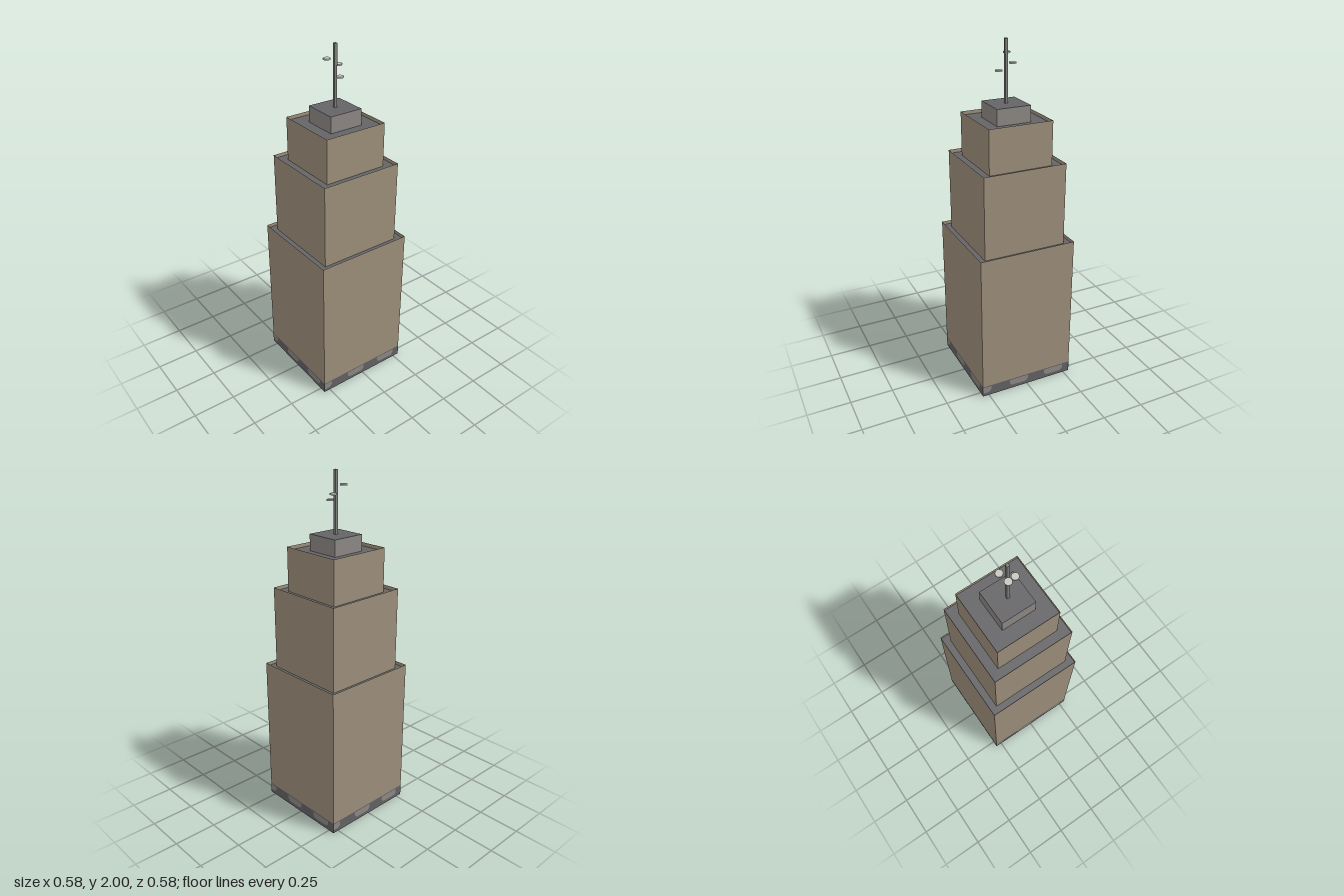
import * as THREE from 'three';

const material = (name, color) => {
  const m = new THREE.MeshStandardMaterial({ color, side: THREE.DoubleSide });
  m.name = name;
  return m;
};

export function createModel() {
  const stone = material('tan stone', 0x9c8f7a);
  const roofGrey = material('roof grey', 0x646467);
  const shopGrey = material('street band grey', 0x626265);
  const paleGrey = material('pale grey', 0x8c8784);
  const metal = material('mast metal', 0x7e7e7d);
  const dishWhite = material('dish white', 0xc8c8c0);

  const model = new THREE.Group();
  model.name = 'steppedTower';

  const add = (name, geometry, mat, parent = model) => {
    const mesh = new THREE.Mesh(geometry, mat);
    mesh.name = name;
    parent.add(mesh);
    return mesh;
  };

  // Four open walls forming a square shell
  const walls = (name, half, y0, y1, mat) => {
    const group = new THREE.Group();
    group.name = name;
    for (let i = 0; i < 4; i++) {
      const g = new THREE.PlaneGeometry(half * 2, y1 - y0);
      g.translate(0, (y0 + y1) / 2, half).rotateY(i * Math.PI / 2);
      add('wall', g, mat, group);
    }
    model.add(group);
  };

  // Stepped tiers, each with a roof sunk behind a thin parapet
  const bandTop = 0.065, recess = 0.021;
  const tiers = [
    { name: 'lowerTier', half: 0.288, y0: bandTop, y1: 0.89 },
    { name: 'middleTier', half: 0.245, y0: 0.89 - recess, y1: 1.352 },
    { name: 'upperTier', half: 0.188, y0: 1.352 - recess, y1: 1.585 },
  ];
  for (const t of tiers) {
    walls(t.name, t.half, t.y0, t.y1, stone);
    const roof = new THREE.PlaneGeometry(t.half * 2, t.half * 2).rotateX(-Math.PI / 2);
    add(t.name + 'Roof', roof, roofGrey).position.y = t.y1 - recess;
  }

  // Street-level band with paler panels on both faces of each wall
  const half = tiers[0].half;
  walls('streetBand', half, 0, bandTop, shopGrey);
  const panels = new THREE.Group();
  panels.name = 'streetPanels';
  model.add(panels);
  for (const [u0, u1] of [[0, 0.09], [0.3, 0.51], [0.7, 0.92]]) {
    const a = (u0 * 2 - 1) * half, b = (u1 * 2 - 1) * half;
    const c = u0 === 0 ? 0 : 0.015;
    const shape = new THREE.Shape([
      [a, 0.06], [a, 0.022 + c], [a + c, 0.022], [b - 0.015, 0.022], [b, 0.037], [b, 0.06],
    ].map(([x, y]) => new THREE.Vector2(x, y)));
    for (let i = 0; i < 4; i++) {
      for (const offset of [-0.0015, 0.0015]) {
        const g = new THREE.ShapeGeometry(shape);
        g.translate(0, 0, half + offset).rotateY(i * Math.PI / 2);
        add('streetPanel', g, paleGrey, panels);
      }
    }
  }

  // Rooftop plant room: pale sides, dark top
  const plantBase = 1.585 - recess, plantTop = 1.657;
  const plant = new THREE.BoxGeometry(0.2, plantTop - plantBase, 0.2);
  add('plantRoom', plant, [paleGrey, paleGrey, roofGrey, roofGrey, paleGrey, paleGrey])
    .position.y = (plantBase + plantTop) / 2;

  // Square mast
  add('mast', new THREE.BoxGeometry(0.016, 2 - plantTop, 0.016), metal)
    .position.y = (2 + plantTop) / 2;

  // Three small dishes spaced evenly around the mast, stepping upward
  [[0, 1.835], [1, 1.92], [2, 1.878]].forEach(([i, y]) => {
    const angle = i * Math.PI * 2 / 3;
    add('dish', new THREE.CylinderGeometry(0.02, 0.02, 0.008, 12), dishWhite)
      .position.set(Math.cos(angle) * 0.043, y, Math.sin(angle) * 0.043);
  });

  return model;
}
